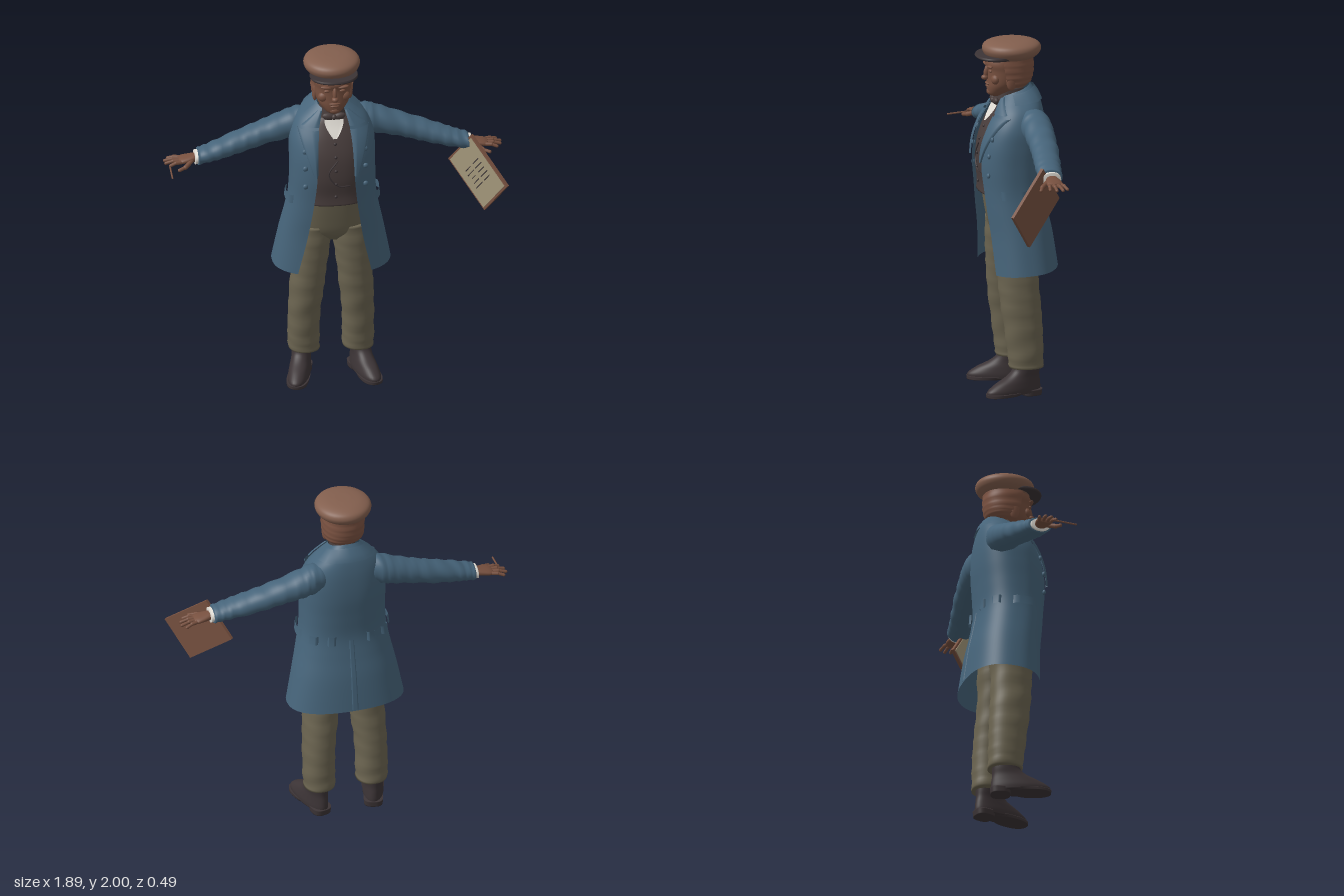
import * as THREE from 'three';

const mat = (name, color, side = THREE.FrontSide) => {
  const m = new THREE.MeshStandardMaterial({ color, side });
  m.name = name;
  return m;
};
const M = {
  coat: mat('blue coat', 0x46647a, THREE.DoubleSide),
  trousers: mat('olive trousers', 0x6c6551),
  vest: mat('dark waistcoat', 0x483d3c, THREE.DoubleSide),
  dark: mat('dark leather', 0x3c3436),
  skin: mat('skin', 0x77503f),
  hair: mat('hair', 0x7c5342, THREE.DoubleSide),
  cap: mat('brown cap', 0x835f4e),
  linen: mat('white linen', 0xe2ded6, THREE.DoubleSide),
  board: mat('board', 0x785140),
  paper: mat('paper', 0xa2967a),
};
const CX = -0.01; // the body stands slightly off centre

// Smooth interpolation of table rows at position u (0 .. rows-1)
function rowAt(rows, u) {
  const last = rows.length - 1;
  const i = Math.min(Math.floor(u), last - 1), t = u - i;
  const R = (k) => rows[Math.max(0, Math.min(last, k))];
  const [a, b, c, d] = [R(i - 1), R(i), R(i + 1), R(i + 2)];
  return b.map((p, k) => p + 0.5 * t * (c[k] - a[k] + t * (2 * a[k] - 5 * p + 4 * c[k] - d[k]
    + t * (3 * (p - c[k]) + d[k] - a[k]))));
}

// Point on a rounded section. Row: y, centre x, half width, front z, back z, front opening, back lift
function ringPoint([y, cx, hw, zf, zb, , lift = 0], th, n = 2.4, out = 0) {
  const s = Math.sin(th), c = Math.cos(th);
  const f = (v) => Math.sign(v) * Math.abs(v) ** (2 / n);
  return [cx + (hw + out) * f(s), y + lift * (1 - c) / 2, (zf + zb) / 2 + ((zf - zb) / 2 + out) * f(c)];
}
const angleFor = (x, hw, n) => Math.asin(Math.min(1, x / hw) ** (n / 2));

function grid(pos, rows, cols, closed) {
  const idx = [];
  const w = closed ? cols : cols + 1;
  for (let i = 0; i < rows; i++) for (let j = 0; j < cols; j++) {
    const k = closed ? (j + 1) % cols : j + 1;
    const a = i * w + j, b = i * w + k, c = a + w, d = b + w;
    idx.push(a, b, d, a, d, c);
  }
  if (closed) { // end caps
    for (const r of [0, rows]) {
      const centre = [0, 1, 2].map((k) => {
        let sum = 0;
        for (let j = 0; j < cols; j++) sum += pos[(r * cols + j) * 3 + k];
        return sum / cols;
      });
      const ci = pos.length / 3;
      pos.push(...centre);
      for (let j = 0; j < cols; j++) {
        const a = r * cols + j, b = r * cols + (j + 1) % cols;
        if (r) idx.push(a, b, ci); else idx.push(b, a, ci);
      }
    }
  }
  const g = new THREE.BufferGeometry();
  g.setAttribute('position', new THREE.Float32BufferAttribute(pos, 3));
  g.setIndex(idx);
  g.computeVertexNormals();
  return g;
}

// Skin over stacked sections; rows with an opening make a shell open at the front
function loft(rows, { n = 2.4, cols = 40, steps = 5, ripple = 0 } = {}) {
  const open = rows[0][5] > 0, N = (rows.length - 1) * steps, pos = [];
  for (let i = 0; i <= N; i++) {
    const r = rowAt(rows, i / steps);
    const a0 = open ? angleFor(r[5], r[2], n) : 0;
    for (let j = 0; j < cols + (open ? 1 : 0); j++) {
      const th = a0 + (2 * Math.PI - 2 * a0) * j / cols;
      const k = ripple * Math.sin(i * 1.7 + 2 * Math.sin(th + i * 0.3));
      pos.push(...ringPoint(r, th, n, k));
    }
  }
  return grid(pos, N, cols, !open);
}

export function createModel() {
  const model = new THREE.Group();
  const add = (name, geo, material, parent = model) => {
    const m = new THREE.Mesh(geo, material);
    m.name = name;
    parent.add(m);
    return m;
  };
  const ball = (name, material, p, r, parent) => {
    const m = add(name, new THREE.SphereGeometry(1, 16, 12), material, parent);
    m.position.set(...p);
    m.scale.set(...r);
    return m;
  };
  const rod = (name, material, a, b, r) => {
    const A = new THREE.Vector3(...a), B = new THREE.Vector3(...b), d = B.clone().sub(A);
    const m = add(name, new THREE.CapsuleGeometry(r, d.length(), 4, 10), material);
    m.position.copy(A).add(B).multiplyScalar(0.5);
    m.quaternion.setFromUnitVectors(new THREE.Vector3(0, 1, 0), d.normalize());
    return m;
  };

  // Coat body and skirt
  const coat = [
    [0.70, CX, 0.33, 0.17, -0.24, 0.205, 0.035], [0.9, CX, 0.293, 0.175, -0.213, 0.16, 0.02],
    [1.05, CX, 0.263, 0.19, -0.185, 0.135, 0], [1.17, CX, 0.243, 0.2, -0.165, 0.118, 0],
    [1.3, CX, 0.238, 0.21, -0.17, 0.105, 0], [1.42, CX, 0.238, 0.2, -0.178, 0.1, 0],
    [1.52, CX, 0.232, 0.165, -0.176, 0.095, 0], [1.6, CX, 0.2, 0.12, -0.166, 0.085, 0.01],
    [1.65, CX, 0.14, 0.095, -0.145, 0.072, 0.035], [1.68, CX, 0.085, 0.075, -0.1, 0.06, 0.07],
  ];
  add('coat', loft(coat, { cols: 64, steps: 6 }), M.coat);
  const coatRow = (y) => {
    let lo = 0, hi = coat.length - 1;
    for (let k = 0; k < 30; k++) {
      const mid = (lo + hi) / 2;
      if (rowAt(coat, mid)[0] < y) lo = mid; else hi = mid;
    }
    return rowAt(coat, lo);
  };
  // Cloth piece lying on the coat between two angles
  const patch = (name, y0, y1, span, out, material = M.coat) => {
    const pos = [], R = 14, C = 8;
    for (let i = 0; i <= R; i++) {
      const y = y0 + (y1 - y0) * i / R, row = coatRow(y);
      const [a, b] = span(i / R, row).sort((p, q) => p - q);
      for (let j = 0; j <= C; j++) pos.push(...ringPoint(row, a + (b - a) * j / C, 2.4, j % C ? out : out * 0.4));
    }
    add(name, grid(pos, R, C, false), material);
  };
  const byX = (s, row, xs) => xs.map((x) => s * angleFor(x, row[2], 2.4));
  const button = (x, y, s) => {
    const row = coatRow(y);
    ball('coatButton', M.coat, ringPoint(row, s * angleFor(x, row[2], 2.4), 2.4, 0.004), [0.015, 0.015, 0.01]);
  };
  for (const s of [-1, 1]) {
    patch('lapel', 1.33, 1.585, (t, r) => byX(s, r, [r[5] - 0.004, r[5] + 0.012 + 0.095 * t]), 0.016);
    patch('collar', 1.6, 1.675, (t, r) => byX(s, r, [r[5] - 0.004, r[5] + 0.075 * (1 - t) + 0.012]), 0.016);
    for (const y of [1.265, 1.375, 1.47]) button(0.165, y, s);
    patch('pocketFlap', 1.135, 1.185, () => [s * 1.1, s * 1.75], 0.018);
    patch('backFlap', 1.14, 1.19, () => [s * 2.1, s * 2.4], 0.018);
    patch('backTab', 1.14, 1.195, () => [s * 2.85, s * 2.65], 0.018);
  }
  patch('collarBack', 1.64, 1.675, () => [1.3, 2 * Math.PI - 1.3], 0.014);
  patch('backPleat', 0.71, 1.16, () => [Math.PI - 0.03, Math.PI + 0.03], 0.006);

  // Waistcoat, cravat and shirt front
  add('waistcoat', loft([
    [1.14, CX, 0.21, 0.188, -0.14], [1.2, CX, 0.205, 0.185, -0.14], [1.3, CX, 0.205, 0.195, -0.145],
    [1.42, CX, 0.205, 0.185, -0.15], [1.52, CX, 0.195, 0.152, -0.15], [1.6, CX, 0.16, 0.11, -0.13],
    [1.64, CX, 0.1, 0.088, -0.1],
  ]), M.vest);
  for (const y of [1.2, 1.28, 1.36, 1.44, 1.51]) {
    const row = coatRow(y);
    ball('waistcoatButton', M.dark, [CX, y, row[3] - 0.012], [0.009, 0.009, 0.007]);
  }
  const chain = new THREE.CatmullRomCurve3([[0, 1.42, 0.189], [-0.05, 1.34, 0.195], [0.0, 1.27, 0.198], [0.07, 1.26, 0.187]]
    .map((p) => new THREE.Vector3(...p)));
  add('watchChain', new THREE.TubeGeometry(chain, 24, 0.004, 6), M.dark);
  patch('shirtFront', 1.54, 1.635, (t) => [-0.02 - 0.25 * t, 0.02 + 0.25 * t], -0.003, M.linen);
  add('cravat', loft([[1.58, CX, 0.075, 0.1, -0.07], [1.66, CX, 0.072, 0.095, -0.07], [1.73, CX, 0.064, 0.085, -0.065]]), M.vest);
  for (const s of [-1, 1]) {
    const bow = ball('bow', M.vest, [CX + s * 0.03, 1.655, 0.098], [0.036, 0.02, 0.016]);
    bow.rotation.z = s * 0.2;
  }
  ball('bowKnot', M.vest, [CX, 1.653, 0.106], [0.014, 0.016, 0.014]);

  // Trousers and shoes
  add('trouserSeat', loft([
    [0.87, CX, 0.1, 0.07, -0.07], [0.93, CX, 0.185, 0.118, -0.125],
    [1.03, CX, 0.2, 0.142, -0.135], [1.17, CX, 0.2, 0.165, -0.13],
  ], { n: 2.3 }), M.trousers);
  for (const s of [-1, 1]) {
    add('trouserLeg', loft([
      [0.16, 0.15, 0.087, 0.05, -0.14], [0.25, 0.152, 0.088, 0.06, -0.14], [0.4, 0.149, 0.089, 0.08, -0.136],
      [0.55, 0.138, 0.095, 0.1, -0.126], [0.7, 0.124, 0.097, 0.112, -0.116], [0.85, 0.112, 0.104, 0.12, -0.12],
      [0.97, 0.1, 0.098, 0.12, -0.12],
    ].map(([y, x, ...r]) => [y, CX + s * x, ...r]), { n: 2.2, ripple: 0.0025 }), M.trousers);
    const shoe = new THREE.Group();
    shoe.name = 'shoe';
    shoe.position.set(CX + s * 0.16, 0, -0.05);
    shoe.rotation.y = s * 0.27;
    model.add(shoe);
    add('shoeUpper', loft([
      [0.02, 0, 0.058, 0.25, -0.075], [0.045, 0, 0.06, 0.25, -0.078], [0.08, 0, 0.056, 0.2, -0.075],
      [0.115, 0, 0.052, 0.13, -0.07], [0.15, 0, 0.054, 0.09, -0.07], [0.2, 0, 0.056, 0.08, -0.072],
    ], { n: 2.2 }), M.dark, shoe);
    add('sole', loft([[0.012, 0, 0.06, 0.256, 0.05], [0.03, 0, 0.063, 0.258, 0.0]], { n: 2.3 }), M.dark, shoe);
    add('heel', loft([[0, 0, 0.052, 0.03, -0.078], [0.035, 0, 0.055, 0.035, -0.082]], { n: 2.8 }), M.dark, shoe);
  }

  // Sleeves, cuffs and hands
  for (const s of [-1, 1]) {
    // Rows: distance along the arm, height, half height, front z, back z
    const along = (rows, opt) => loft(rows.map(([x, y, ...r]) => [x, -s * y, ...r]), opt).rotateZ(-s * Math.PI / 2);
    add('sleeve', along([
      [0.12, 1.555, 0.07, -0.01, -0.14], [0.19, 1.55, 0.083, 0.0, -0.163], [0.26, 1.53, 0.079, 0.0, -0.167],
      [0.38, 1.495, 0.068, 0.002, -0.155], [0.5, 1.458, 0.063, 0.012, -0.14], [0.62, 1.424, 0.055, 0.027, -0.118],
      [0.7, 1.403, 0.047, 0.033, -0.103], [0.755, 1.39, 0.044, 0.033, -0.095],
    ], { n: 2.1, ripple: 0.003 }), M.coat);
    add('cuff', along([[0.74, 1.392, 0.036, 0.025, -0.085], [0.772, 1.386, 0.037, 0.025, -0.083]], { n: 2.1 }), M.linen);
    add('palm', along([
      [0.76, 1.386, 0.024, 0.0, -0.06], [0.8, 1.382, 0.02, 0.012, -0.07], [0.84, 1.376, 0.017, 0.015, -0.075],
      [0.862, 1.372, 0.012, 0.008, -0.068],
    ], { n: 2.3 }), M.skin);
    const tips = [[0.915, -0.082], [0.935, -0.052], [0.932, -0.018], [0.91, 0.015]];
    tips.forEach(([x, z], k) => {
      const base = [s * 0.85, 1.374, -0.062 + k * 0.022];
      const mid = [s * (x + 0.85) / 2, 1.374, (z + base[2]) / 2];
      rod('finger', M.skin, base, mid, 0.011);
      rod('fingertip', M.skin, mid, [s * x, 1.363, z], 0.009);
    });
    rod('thumb', M.skin, [s * 0.79, 1.378, 0.0], [s * 0.83, 1.36, 0.04], 0.013);
    rod('thumbTip', M.skin, [s * 0.83, 1.36, 0.04], [s * 0.865, 1.352, 0.055], 0.01);
  }
  rod('pencil', M.board, [-0.912, 1.355, 0.0], [-0.914, 1.345, 0.13], 0.005);

  // Writing board held in the left hand
  const board = new THREE.Group();
  board.name = 'writingBoard';
  const u = new THREE.Vector3(-0.11, -0.2, -0.12).normalize();
  const w = u.clone().cross(new THREE.Vector3(0.17, -0.23, 0.21)).normalize();
  board.quaternion.setFromRotationMatrix(new THREE.Matrix4().makeBasis(u, w.clone().cross(u), w));
  board.position.set(0.80, 1.238, 0.072);
  model.add(board);
  add('backing', new THREE.BoxGeometry(0.26, 0.355, 0.018), M.board, board);
  add('page', new THREE.BoxGeometry(0.236, 0.33, 0.006), M.paper, board).position.z = 0.011;
  for (let i = 0; i < 5; i++) for (const [x, len] of [[-0.045, 0.06 + 0.01 * (i % 2)], [0.04, 0.07 - 0.015 * (i % 3)]]) {
    add('writtenLine', new THREE.BoxGeometry(len, 0.005, 0.002), M.dark, board).position.set(x, 0.06 - i * 0.028, 0.0145);
  }

  // Head, face and hair
  add('head', loft([
    [1.683, CX, 0.035, 0.122, 0.03], [1.7, CX, 0.056, 0.135, 0], [1.74, CX, 0.086, 0.14, -0.04],
    [1.78, CX, 0.099, 0.138, -0.07], [1.83, CX, 0.104, 0.138, -0.09], [1.87, CX, 0.107, 0.146, -0.1],
    [1.92, CX, 0.1, 0.125, -0.1],
  ], { n: 2.2 }), M.skin);
  ball('noseBridge', M.skin, [CX, 1.82, 0.14], [0.013, 0.042, 0.018]).rotation.x = -0.25;
  ball('noseTip', M.skin, [CX, 1.786, 0.152], [0.019, 0.015, 0.02]);
  ball('upperLip', M.skin, [CX, 1.752, 0.136], [0.032, 0.008, 0.012]);
  ball('lowerLip', M.skin, [CX, 1.737, 0.135], [0.026, 0.008, 0.012]);
  ball('chin', M.skin, [CX, 1.705, 0.122], [0.03, 0.02, 0.02]);
  for (const s of [-1, 1]) {
    ball('brow', M.skin, [CX + s * 0.045, 1.855, 0.134], [0.034, 0.009, 0.014]).rotation.z = s * 0.1;
    ball('eyelid', M.skin, [CX + s * 0.042, 1.83, 0.13], [0.018, 0.009, 0.01]);
    ball('cheek', M.skin, [CX + s * 0.058, 1.785, 0.105], [0.032, 0.03, 0.025]);
    ball('sideWhisker', M.hair, [CX + s * 0.098, 1.785, 0.025], [0.016, 0.06, 0.03]);
  }
  add('hair', loft([
    [1.735, CX, 0.088, 0.09, -0.075, 0.084], [1.76, CX, 0.108, 0.11, -0.105, 0.102], [1.8, CX, 0.116, 0.13, -0.12, 0.108],
    [1.86, CX, 0.119, 0.14, -0.124, 0.109], [1.92, CX, 0.115, 0.14, -0.12, 0.104],
  ], { n: 2.2, ripple: 0.002 }), M.hair);

  // Flat cap with peak
  add('cap', loft([
    [1.895, CX, 0.116, 0.135, -0.124], [1.908, CX, 0.135, 0.145, -0.142], [1.925, CX, 0.15, 0.157, -0.158],
    [1.95, CX, 0.157, 0.164, -0.165], [1.975, CX, 0.143, 0.15, -0.151], [1.992, CX, 0.1, 0.105, -0.106],
    [1.999, CX, 0.04, 0.042, -0.042],
  ], { n: 2 }), M.cap);
  add('capPeak', loft([[1.9, CX, 0.13, 0.196, -0.02], [1.907, CX, 0.134, 0.203, -0.02], [1.918, CX, 0.132, 0.198, -0.02]],
    { n: 2.2 }), M.dark);
  return model;
}
